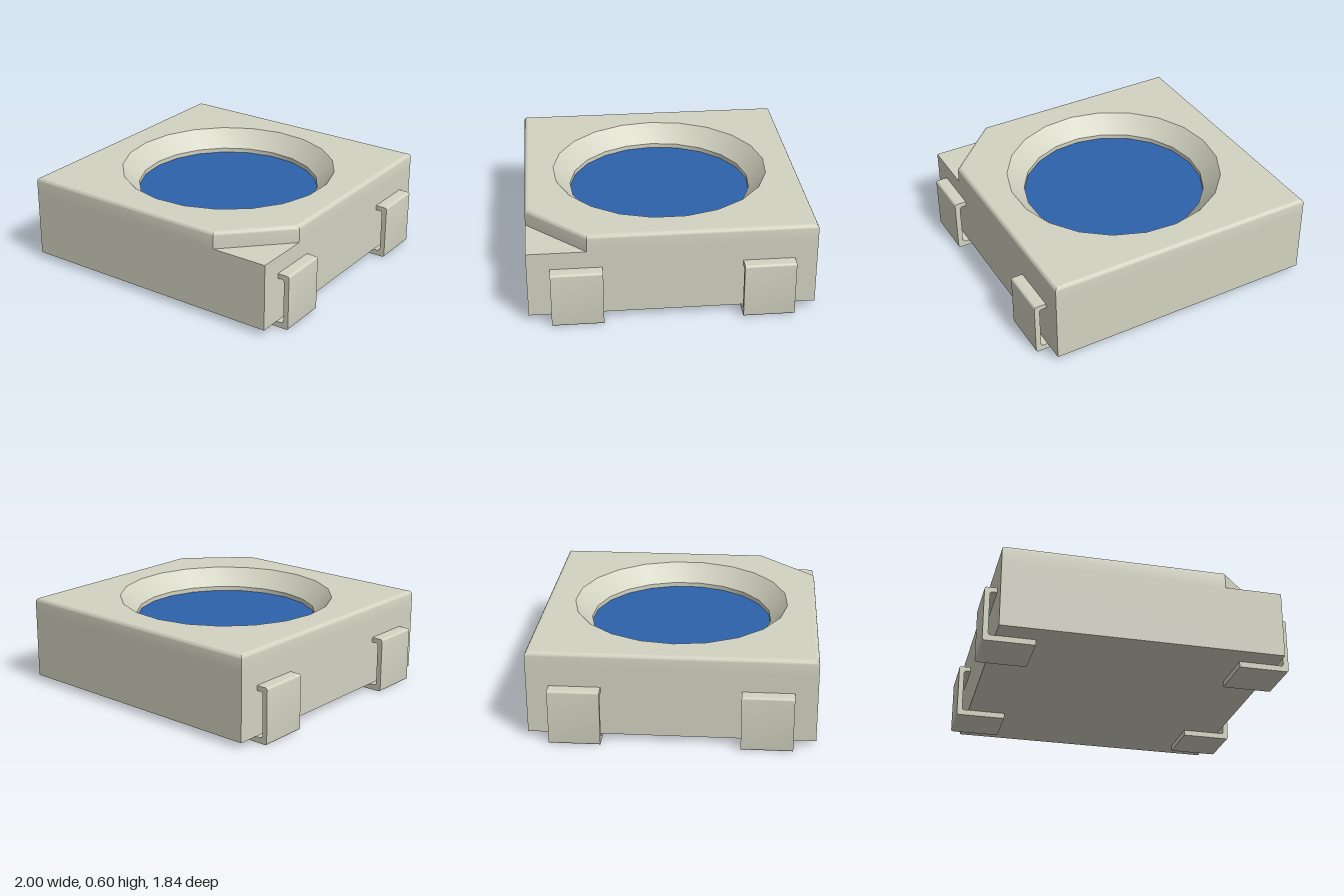
import * as THREE from 'three';
import { toCreasedNormals } from 'three/addons/utils/BufferGeometryUtils.js';

const HALF = 0.92, BASE = 0.04, STEP = 0.485, TOP = 0.597;
const CUT = 1.46;          // x + z along the cut corner
const FILLET = 0.025;
const SIDES = 21, RIM = 0.727, LENS = 0.615, LENS_Y = 0.448;

// Plan outlines as [x, z], inset by t
const square = (t) => {
  const h = HALF - t;
  return [[-h, -h], [h, -h], [h, h], [-h, h]];
};
const cutSquare = (t) => {
  const h = HALF - t, c = CUT - t * Math.SQRT2 - h;
  return [[-h, -h], [h, -h], [h, c], [c, h], [-h, h]];
};

// Walls joining a stack of [y, inset] sections, bottom to top
function walls(outline, sections) {
  const pos = [];
  for (let s = 0; s < sections.length - 1; s++) {
    const [y0, t0] = sections[s], [y1, t1] = sections[s + 1];
    const lo = outline(t0), hi = outline(t1);
    for (let i = 0; i < lo.length; i++) {
      const j = (i + 1) % lo.length;
      const a = [lo[i][0], y0, lo[i][1]], b = [lo[j][0], y0, lo[j][1]];
      const c = [hi[j][0], y1, hi[j][1]], d = [hi[i][0], y1, hi[i][1]];
      pos.push(...a, ...c, ...b, ...a, ...d, ...c);
    }
  }
  const g = new THREE.BufferGeometry();
  g.setAttribute('position', new THREE.Float32BufferAttribute(pos, 3));
  return toCreasedNormals(g, 0.6);
}

// Horizontal face from an outline, with an optional hole
function cap(points, y, hole, down = false) {
  const v = (p) => new THREE.Vector2(p[0], down ? p[1] : -p[1]);
  const shape = new THREE.Shape(points.map(v));
  if (hole) shape.holes.push(new THREE.Path(hole.map(v)));
  return new THREE.ShapeGeometry(shape).rotateX(down ? Math.PI / 2 : -Math.PI / 2).translate(0, y, 0);
}

// Bent lead profile: C-shaped strip with rounded bends
function leadGeometry(width) {
  const s = new THREE.Shape();
  s.moveTo(0.665, 0);
  s.lineTo(0.985, 0);
  s.quadraticCurveTo(1, 0, 1, 0.015);
  s.lineTo(1, 0.355);
  s.quadraticCurveTo(1, 0.37, 0.985, 0.37);
  s.lineTo(0.92, 0.37);
  s.lineTo(0.92, 0.338);
  s.lineTo(0.945, 0.338);
  s.quadraticCurveTo(0.965, 0.338, 0.965, 0.318);
  s.lineTo(0.965, 0.058);
  s.quadraticCurveTo(0.965, 0.038, 0.945, 0.038);
  s.lineTo(0.665, 0.038);
  s.closePath();
  const g = new THREE.ExtrudeGeometry(s, { depth: width, bevelEnabled: false, curveSegments: 4 });
  return toCreasedNormals(g.translate(0, 0, -width / 2), 0.6);
}

export function createModel() {
  const model = new THREE.Group();
  model.name = 'lightModule';
  const housing = new THREE.MeshStandardMaterial({ color: 0xd3d3c2 });
  housing.name = 'housing';
  const blue = new THREE.MeshStandardMaterial({ color: 0x2d62aa });
  blue.name = 'lensBlue';
  const add = (name, geometry, material, parent = model) => {
    const mesh = new THREE.Mesh(geometry, material);
    mesh.name = name;
    parent.add(mesh);
    return mesh;
  };

  // Housing: square base, then an upper part with a cut corner and rounded top edge
  const body = new THREE.Group();
  body.name = 'body';
  model.add(body);
  add('baseWalls', walls(square, [[BASE, 0], [STEP, 0]]), housing, body);
  add('underside', cap(square(0), BASE, null, true), housing, body);
  const sections = [[STEP, 0]];
  for (let i = 0; i <= 4; i++) {
    const a = (i / 4) * Math.PI / 2;
    sections.push([TOP - FILLET * (1 - Math.sin(a)), FILLET * (1 - Math.cos(a))]);
  }
  add('upperWalls', walls(cutSquare, sections), housing, body);
  const c = CUT - HALF;
  add('cornerStep', cap([[HALF, c], [HALF, HALF], [c, HALF]], STEP), housing, body);

  // Top face around the round opening
  const rim = [];
  for (let i = 0; i < SIDES; i++) {
    const a = Math.PI + (i / SIDES) * Math.PI * 2;
    rim.push([RIM * Math.cos(a), RIM * Math.sin(a)]);
  }
  add('topFace', cap(cutSquare(FILLET), TOP, rim), housing, body);

  // Sloped reflector with a short straight lip, and the lens at its foot
  const profile = [[RIM, TOP], [LENS, 0.478], [LENS, LENS_Y]].map((p) => new THREE.Vector2(...p));
  const reflector = new THREE.LatheGeometry(profile, SIDES, -Math.PI / 2);
  add('reflector', toCreasedNormals(reflector, 0.5), housing);
  const lens = new THREE.CircleGeometry(LENS, SIDES, Math.PI).rotateX(-Math.PI / 2);
  add('lens', lens, blue).position.y = LENS_Y;

  // Four bent leads
  const lead = leadGeometry(0.33);
  for (const side of [1, -1]) {
    for (const end of [1, -1]) {
      const mesh = add(`${side > 0 ? 'left' : 'right'}${end > 0 ? 'Front' : 'Back'}Lead`, lead, housing);
      mesh.position.z = end * 0.61;
      if (side < 0) mesh.rotation.y = Math.PI;
    }
  }
  return model;
}
